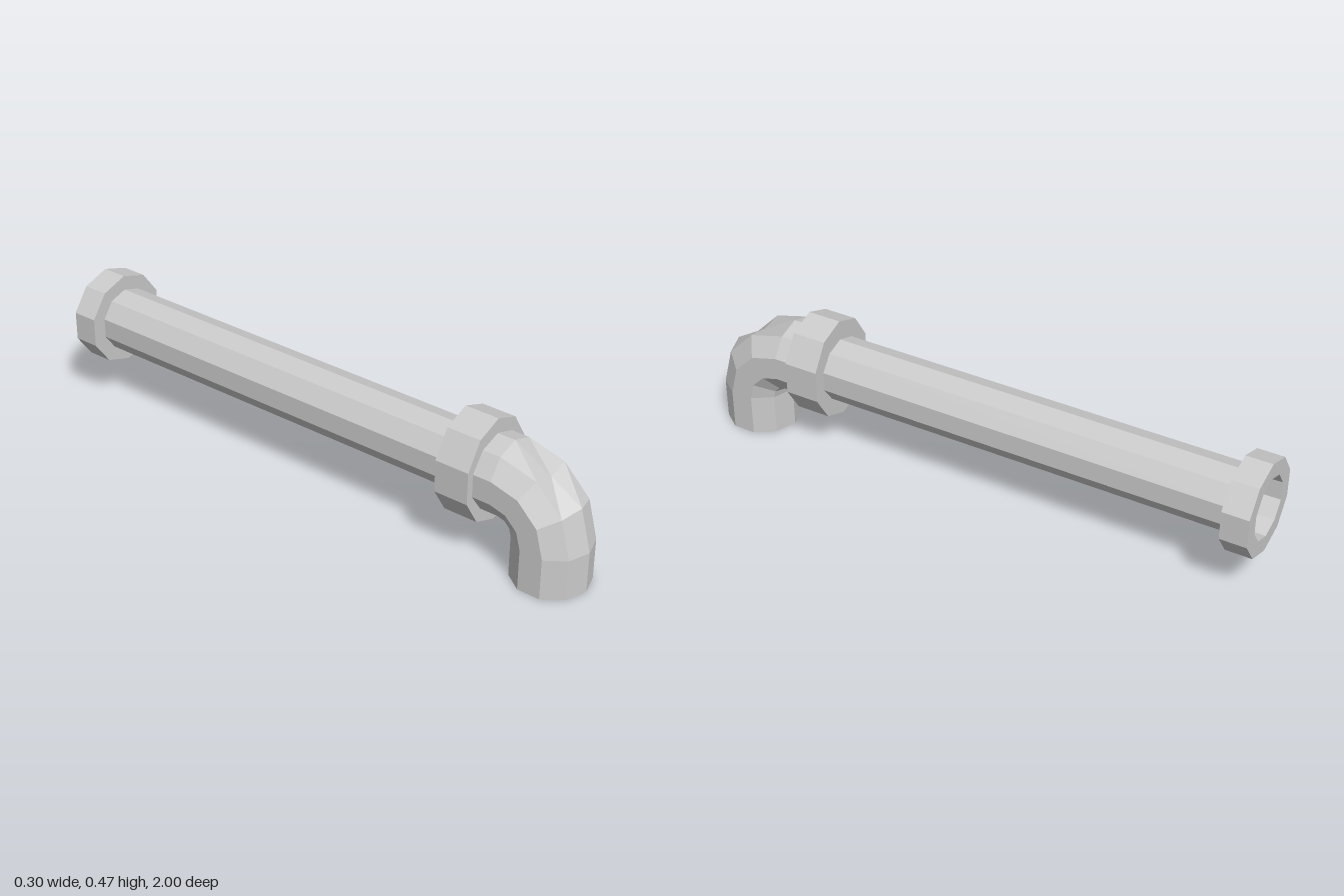
import * as THREE from 'three';

const SIDES = 10;
const AXIS_Y = 0.295; // height of the long horizontal run

// Skin a list of rings { z, y, a, rx, ry }. Angle a turns the ring in the
// zy plane: 0 = section of a vertical pipe, PI/2 = section of a horizontal one.
function loft(name, rings, material, adjust) {
  const points = rings.map((r, i) => Array.from({ length: SIDES }, (_, k) => {
    const t = (k / SIDES) * Math.PI * 2;
    const out = Math.cos(t) * r.ry;
    const p = new THREE.Vector3(Math.sin(t) * r.rx, r.y + out * Math.sin(r.a), r.z + out * Math.cos(r.a));
    if (adjust) adjust(p, i, k);
    return p;
  }));
  const pos = [];
  const tri = (a, b, c) => [a, b, c].forEach((p) => pos.push(p.x, p.y, p.z));
  for (let i = 0; i < rings.length - 1; i++) {
    for (let k = 0; k < SIDES; k++) {
      const n = (k + 1) % SIDES;
      const [a, b, c, d] = [points[i][k], points[i][n], points[i + 1][n], points[i + 1][k]];
      if (rings[i].rx > 0) tri(a, b, c);
      if (rings[i + 1].rx > 0) tri(a, c, d);
    }
  }
  const geometry = new THREE.BufferGeometry();
  geometry.setAttribute('position', new THREE.Float32BufferAttribute(pos, 3));
  geometry.computeVertexNormals();
  const mesh = new THREE.Mesh(geometry, material);
  mesh.name = name;
  return mesh;
}

// Ring of the horizontal run
const across = (z, rx, ry = rx) => ({ z, y: AXIS_Y, a: Math.PI / 2, rx, ry });

export function createModel() {
  const group = new THREE.Group();
  group.name = 'pipe';
  const metal = new THREE.MeshStandardMaterial({ color: 0xcccccc, flatShading: true });

  // Elbow: recessed mouth at the bottom, straight rise, quarter bend, short run
  const R = 0.1275, BEND = 0.155, CZ = 0.8725;
  const upright = (y, r) => ({ z: CZ, y, a: 0, rx: r, ry: r });
  const elbowRings = [upright(0.08, 0), upright(0.08, 0.088), upright(0, 0.094), upright(0, R)];
  for (let i = 0; i <= 3; i++) {
    const a = (i / 3) * Math.PI / 2;
    elbowRings.push({
      z: CZ - BEND + BEND * Math.cos(a),
      y: AXIS_Y - BEND + BEND * Math.sin(a),
      a, rx: R, ry: R,
    });
  }
  elbowRings.push(across(0.6, R));
  group.add(loft('elbow', elbowRings, metal, (p, i, k) => {
    // shallow dent on the outside of the bend
    if (i === 6 && k === 0) p.set(0, 0.347, 0.85);
  }));

  // Collar joining the elbow to the long pipe
  group.add(loft('collar', [
    across(0.655, 0), across(0.655, 0.1545, 0.178),
    across(0.535, 0.1545, 0.178), across(0.535, 0),
  ], metal));

  // Long straight pipe
  group.add(loft('longPipe', [across(0.56, 0.109), across(-0.95, 0.109)], metal));

  // End flange with a recessed opening
  group.add(loft('endFlange', [
    across(-0.91, 0.105), across(-0.91, 0.16), across(-1, 0.16),
    across(-1, 0.105), across(-0.84, 0.1), across(-0.84, 0),
  ], metal));

  return group;
}
